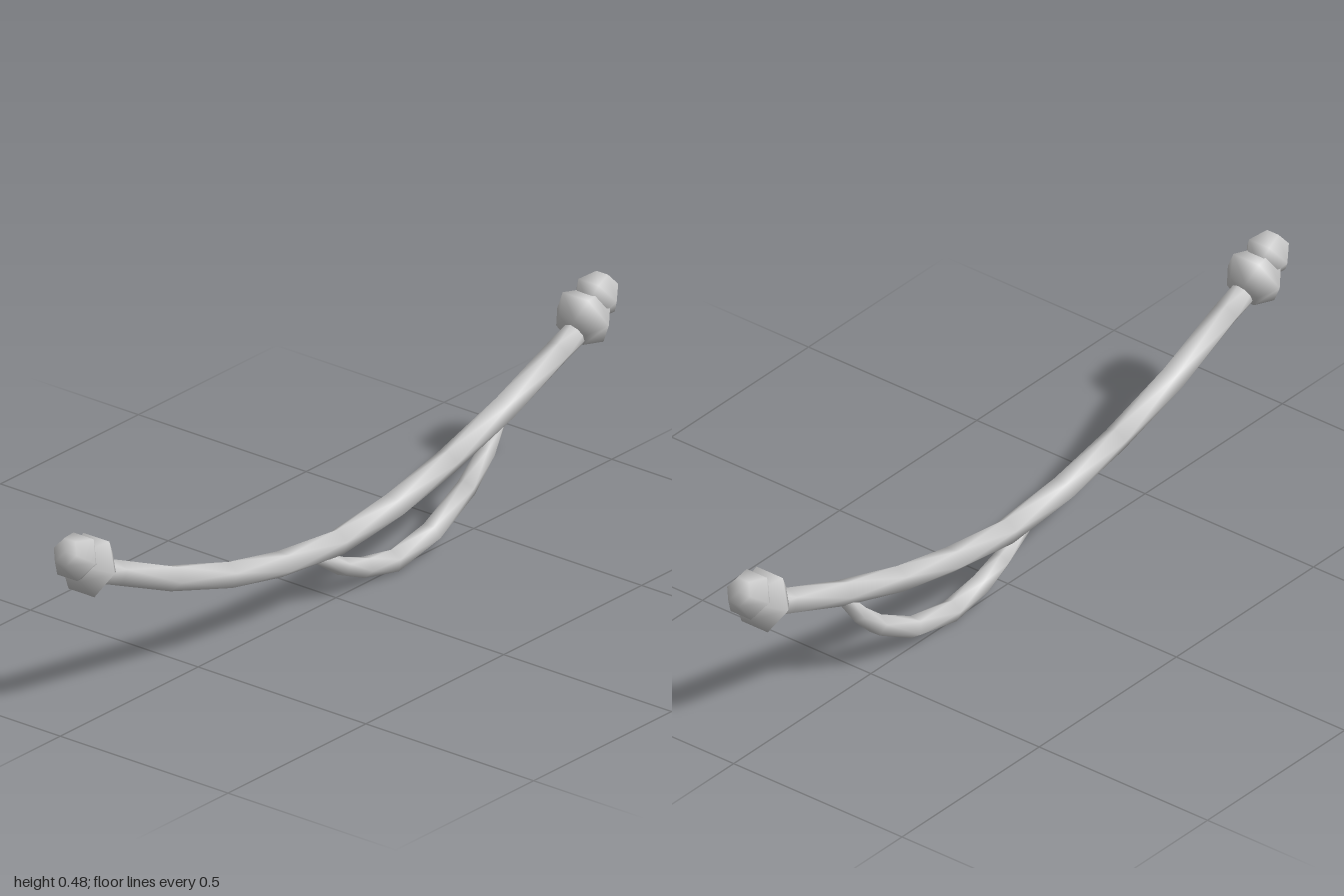
import * as THREE from 'three';

const material = new THREE.MeshStandardMaterial({ color: 0xcccccc });
const SIDES = 5;

// Twisted low-poly rope through [z, y, radius] stations in the plane x = 0.
function twistedRope(name, stations, twist) {
  const centres = stations.map(([z, y]) => new THREE.Vector3(0.004, y, z));
  const across = new THREE.Vector3(1, 0, 0);
  const positions = [], index = [];
  const last = stations.length - 1;

  centres.forEach((c, i) => {
    const tangent = centres[Math.min(i + 1, last)].clone()
      .sub(centres[Math.max(i - 1, 0)]).normalize();
    const normal = tangent.clone().cross(across);
    for (let j = 0; j < SIDES; j++) {
      const a = (j / SIDES) * Math.PI * 2 + i * twist;
      const p = c.clone()
        .addScaledVector(across, Math.cos(a) * stations[i][2])
        .addScaledVector(normal, Math.sin(a) * stations[i][2]);
      positions.push(p.x, p.y, p.z);
    }
  });

  // End centres close the rope
  const start = positions.length / 3;
  for (const c of [centres[0], centres[last]]) positions.push(c.x, c.y, c.z);

  for (let j = 0; j < SIDES; j++) {
    const k = (j + 1) % SIDES;
    for (let i = 0; i < last; i++) {
      const a = i * SIDES + j, b = i * SIDES + k;
      index.push(a, b, a + SIDES, b, b + SIDES, a + SIDES);
    }
    index.push(start, k, j, start + 1, last * SIDES + j, last * SIDES + k);
  }

  const geometry = new THREE.BufferGeometry();
  geometry.setAttribute('position', new THREE.Float32BufferAttribute(positions, 3));
  geometry.setIndex(index);
  geometry.computeVertexNormals();
  const mesh = new THREE.Mesh(geometry, material);
  mesh.name = name;
  return mesh;
}

// Six-sided bulging bead, its axis tilted up from +z.
function bead(name, radius, endRadius, halfLength, y, z, tilt) {
  const profile = [
    [0, -halfLength], [endRadius, -halfLength], [radius, 0],
    [endRadius, halfLength], [0, halfLength],
  ].map(([r, h]) => new THREE.Vector2(r, h));
  const mesh = new THREE.Mesh(new THREE.LatheGeometry(profile, 6, Math.PI / 2), material);
  mesh.position.set(0, y, z);
  mesh.rotation.x = Math.PI / 2 - tilt;
  mesh.name = name;
  return mesh;
}

export function createModel() {
  const model = new THREE.Group();
  model.name = 'hangingRope';

  // Main sagging rope
  const main = [
    [0.91, 0.395], [0.8, 0.348], [0.6, 0.268], [0.4, 0.203], [0.2, 0.162], [0, 0.148],
    [-0.2, 0.167], [-0.4, 0.212], [-0.6, 0.274], [-0.8, 0.348], [-0.91, 0.395],
  ].map(([z, y]) => [z, y, 0.032]);
  model.add(twistedRope('mainRope', main, 0.7));

  // Loose strand hanging below one half
  model.add(twistedRope('looseStrand', [
    [0.07, 0.132, 0.016], [-0.02, 0.078, 0.023], [-0.1, 0.05, 0.026], [-0.2, 0.03, 0.028],
    [-0.34, 0.052, 0.027], [-0.47, 0.122, 0.026], [-0.54, 0.188, 0.022], [-0.59, 0.25, 0.016],
  ], 0.7));

  // Two-part knots at both ends
  for (const [name, turn] of [['frontKnot', 0], ['backKnot', Math.PI]]) {
    const knot = new THREE.Group();
    knot.name = name;
    knot.add(bead('innerKnot', 0.077, 0.045, 0.047, 0.402, 0.896, 0.42));
    knot.add(bead('outerKnot', 0.06, 0.034, 0.045, 0.44, 0.945, 0.6));
    knot.rotation.y = turn;
    model.add(knot);
  }
  return model;
}
